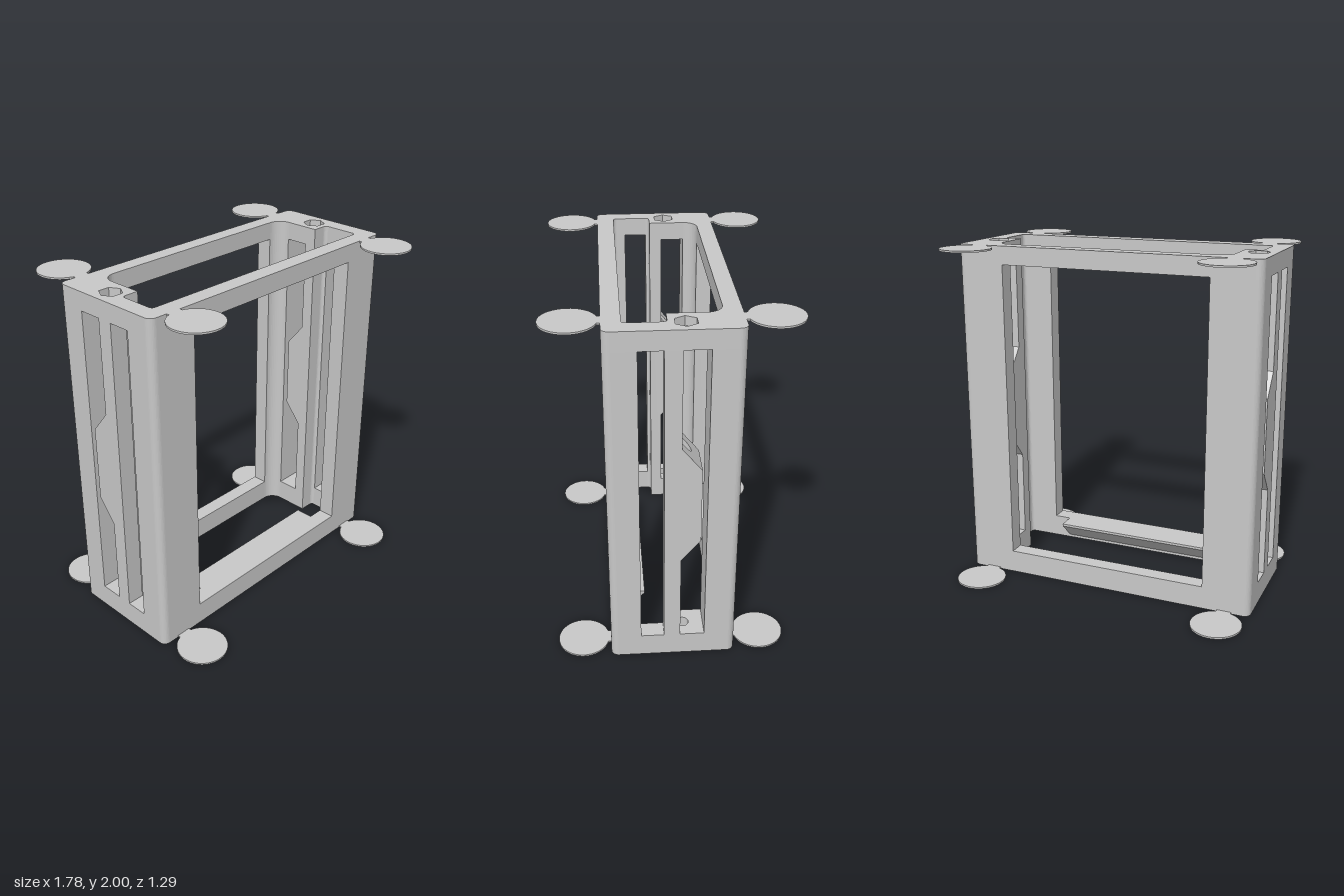
import * as THREE from 'three';

const V = (x, z) => new THREE.Vector2(x, z);

// points along an arc in plan (x, z)
function arc(cx, cz, r, a0, a1, n = 8) {
  return Array.from({ length: n + 1 }, (_, i) => {
    const a = a0 + (a1 - a0) * i / n;
    return V(cx + r * Math.cos(a), cz + r * Math.sin(a));
  });
}

const mirror = (pts, s) => pts.map(p => V(p.x * s, p.y));

// vertical prism from a plan outline; outlines with holes run counter-clockwise
function prism(outline, y0, y1, holes = []) {
  const shape = new THREE.Shape(outline);
  shape.holes = holes.map(h => new THREE.Path(h));
  const g = new THREE.ExtrudeGeometry(shape, { depth: y1 - y0, bevelEnabled: false });
  return g.rotateX(Math.PI / 2).translate(0, y1, 0);
}

export function createModel() {
  const group = new THREE.Group();
  const grey = new THREE.MeshStandardMaterial({ color: 0xc8c8c8 });
  grey.name = 'greyPlastic';
  const add = (name, geometry) => {
    const mesh = new THREE.Mesh(geometry, grey);
    mesh.name = name;
    group.add(mesh);
  };

  const Q = Math.PI / 2, LOW = 0.135, HIGH = 1.895;
  const X = 0.892, Z = 0.347;            // outer half width and depth
  const innerX = 0.692, pocketX = 0.792; // inner faces of the side walls
  const innerZ = 0.248;                  // inner faces of the front and back walls
  const rodX = 0.79, rodZ = -0.06, rodR = 0.035;

  // rounded corners shared by the rings and the posts
  const frontCorner = arc(X - 0.04, Z - 0.04, 0.04, Q, 0);
  const backCorner = arc(X - 0.04, 0.04 - Z, 0.04, 0, -Q);
  const pocketFront = arc(pocketX - 0.02, innerZ - 0.02, 0.02, Q, 0, 5);
  const pocketStep = arc(pocketX - 0.02, 0.05, 0.02, 0, -Q, 5);
  const pocketBack = arc(innerX - 0.08, 0.08 - innerZ - 0.005, 0.08, 0, -Q, 10);

  // rings at the bottom and top
  const closed = half => [...half, ...mirror(half, -1).reverse()];
  const outer = closed([...frontCorner, ...backCorner]).reverse();
  const inner = closed([...pocketFront, ...pocketStep, V(innerX, 0.03), ...pocketBack]);
  const both = pts => [pts, mirror(pts, -1)];
  const rodHoles = both(arc(rodX, rodZ, rodR, 0, 4 * Q, 24).slice(0, -1));
  const nutHoles = both(arc(rodX, rodZ, 0.063, 0, 4 * Q, 6).slice(0, -1));
  add('bottomRing', prism(outer, 0, LOW, [inner, ...rodHoles]));
  add('topRing', prism(outer, HIGH, 1.95, [inner, ...rodHoles]));
  add('nutRecessLayer', prism(outer, 1.95, 2, [inner, ...nutHoles]));

  // upright members, with the rod channel cut into the rib and its thick middle
  const a = Math.asin(0.02 / rodR);
  const frontPost = [V(0.61, Z), ...frontCorner, V(X, 0.178), V(pocketX, 0.178),
    ...[...pocketFront].reverse(), V(0.61, innerZ)];
  const backPost = [V(0.61, -Z), ...[...backCorner].reverse(), V(X, -0.175),
    V(innerX, -0.175), ...pocketBack.slice(1), V(0.61, -innerZ - 0.005)];
  const rib = [V(X, -0.04), V(X, 0.05), ...pocketStep, V(innerX, 0.03), V(innerX, -0.04),
    ...arc(rodX, rodZ, rodR, Math.PI - a, a, 8)];
  const block = [V(X, -0.145), V(X, -0.04),
    ...arc(rodX, rodZ, rodR, a, -Math.PI - a, 20), V(innerX, -0.04), V(innerX, -0.145)];

  for (const [side, s] of [['left', 1], ['right', -1]]) {
    add(side + 'FrontPost', prism(mirror(frontPost, s), LOW, HIGH));
    add(side + 'BackPost', prism(mirror(backPost, s), LOW, HIGH));
    add(side + 'Rib', prism(mirror(rib, s), LOW, HIGH));

    // thick middle: both ends slope towards the back
    const g = prism(mirror(block, s), 0.655, 1.352);
    const p = g.attributes.position;
    for (let i = 0; i < p.count; i++) {
      const slope = 0.13 * (-0.04 - p.getZ(i)) / 0.105;
      p.setY(i, p.getY(i) + (p.getY(i) > 1 ? -slope : slope));
    }
    g.computeVertexNormals();
    add(side + 'RodBlock', g);

    // thin anchor discs with their tabs
    for (const [level, y] of [['Bottom', 0.005], ['Top', 1.995]]) {
      for (const [end, f] of [['Front', 1], ['Back', -1]]) {
        add(side + level + end + 'Disc',
          new THREE.CylinderGeometry(0.145, 0.145, 0.01, 48).translate(s * 0.745, y, f * 0.502));
        add(side + level + end + 'Tab',
          new THREE.BoxGeometry(0.085, 0.01, 0.04).translate(s * 0.745, y, f * 0.357));
      }
    }
  }

  // ledge inside the front wall, with a sloping underside
  const ledge = new THREE.Shape([V(-0.25, LOW), V(-0.14, LOW), V(-0.14, 0.12), V(-0.25, 0.015)]);
  add('frontLedge', new THREE.ExtrudeGeometry(ledge, { depth: 1.02, bevelEnabled: false })
    .rotateY(Q).translate(-0.51, 0, 0));

  return group;
}
